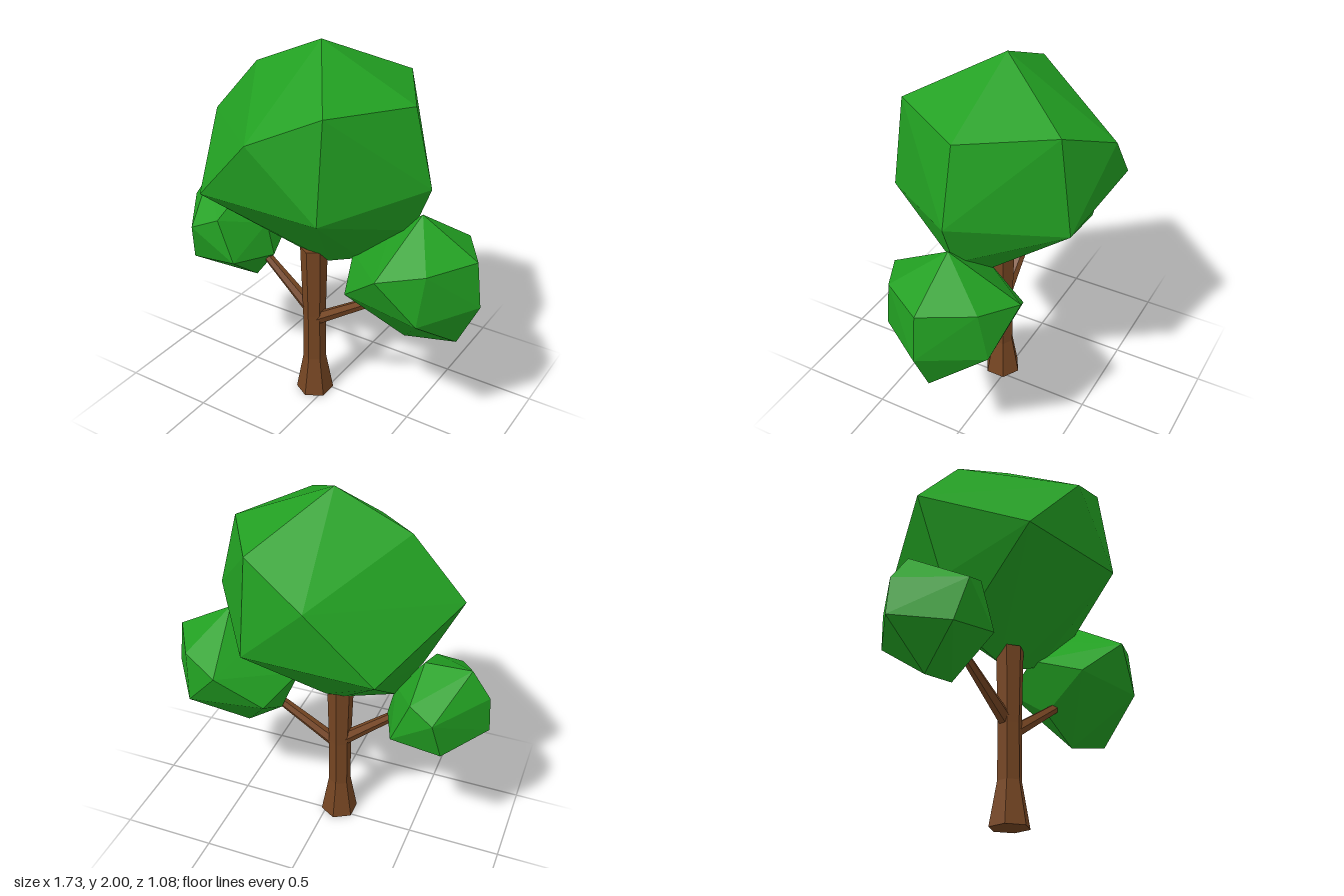
import * as THREE from 'three';
import { ConvexGeometry } from 'three/addons/geometries/ConvexGeometry.js';

const leaf = new THREE.MeshStandardMaterial({ color: 0x22a022, flatShading: true });
const bark = new THREE.MeshStandardMaterial({ color: 0x754522, flatShading: true });

// Faceted foliage: a ring of [x, y] points on the middle plane plus
// [x, y, depth] points mirrored to the front and the back of it.
function foliage(name, midZ, ring, sides) {
  const points = ring.map(([x, y]) => new THREE.Vector3(x, y, midZ));
  for (const [x, y, d] of sides) {
    points.push(new THREE.Vector3(x, y, midZ + d), new THREE.Vector3(x, y, midZ - d));
  }
  const mesh = new THREE.Mesh(new ConvexGeometry(points), leaf);
  mesh.name = name;
  return mesh;
}

// Tapered six-sided branch between two points
function branch(name, from, to, r0, r1) {
  const a = new THREE.Vector3(...from), b = new THREE.Vector3(...to);
  const dir = b.clone().sub(a);
  const mesh = new THREE.Mesh(new THREE.CylinderGeometry(r1, r0, dir.length(), 6), bark);
  mesh.position.copy(a).add(b).multiplyScalar(0.5);
  mesh.quaternion.setFromUnitVectors(new THREE.Vector3(0, 1, 0), dir.normalize());
  mesh.name = name;
  return mesh;
}

export function createModel() {
  const tree = new THREE.Group();
  tree.name = 'tree';

  // Six-sided trunk with a flared foot
  const profile = [[0, 0], [0.102, 0], [0.062, 0.22], [0.061, 0.5], [0.072, 0.9], [0, 0.9]];
  const trunk = new THREE.Mesh(
    new THREE.LatheGeometry(profile.map(([r, y]) => new THREE.Vector2(r, y)), 6), bark);
  trunk.name = 'trunk';
  trunk.position.set(-0.065, 0, 0.04);
  tree.add(trunk);

  // Branches reaching into the side foliage
  tree.add(branch('rightBranch', [-0.07, 0.50, 0.04], [-0.42, 0.80, 0.04], 0.038, 0.022));
  tree.add(branch('leftBranch', [-0.06, 0.46, 0.045], [0.34, 0.72, 0.03], 0.036, 0.024));

  tree.add(foliage('crown', 0,
    [[-0.04, 2], [0.47, 1.77], [0.57, 1.38], [0.48, 1.14], [0.2, 0.9], [0, 0.82],
      [-0.1, 0.83], [-0.37, 0.92], [-0.51, 1.15], [-0.69, 1.53], [-0.42, 1.83]],
    [[-0.1, 1.64, 0.54], [0.24, 1.3, 0.48], [-0.42, 1.3, 0.49], [0.23, 1.79, 0.41]]));

  tree.add(foliage('leftFoliage', 0,
    [[0.53, 1.24], [0.83, 1.07], [0.86, 0.83], [0.75, 0.59], [0.46, 0.52],
      [0.26, 0.66], [0.15, 0.92], [0.36, 1.1]],
    [[0.47, 1.02, 0.35], [0.66, 0.8, 0.28], [0.25, 0.83, 0.25], [0.68, 1.06, 0.24]]));

  tree.add(foliage('rightFoliage', 0.03,
    [[-0.75, 1.14], [-0.51, 1.13], [-0.37, 0.95], [-0.33, 0.77], [-0.45, 0.61],
      [-0.62, 0.6], [-0.865, 0.81], [-0.85, 1]],
    [[-0.64, 0.98, 0.295], [-0.68, 0.77, 0.24], [-0.42, 0.8, 0.24], [-0.51, 1.03, 0.24]]));

  return tree;
}
